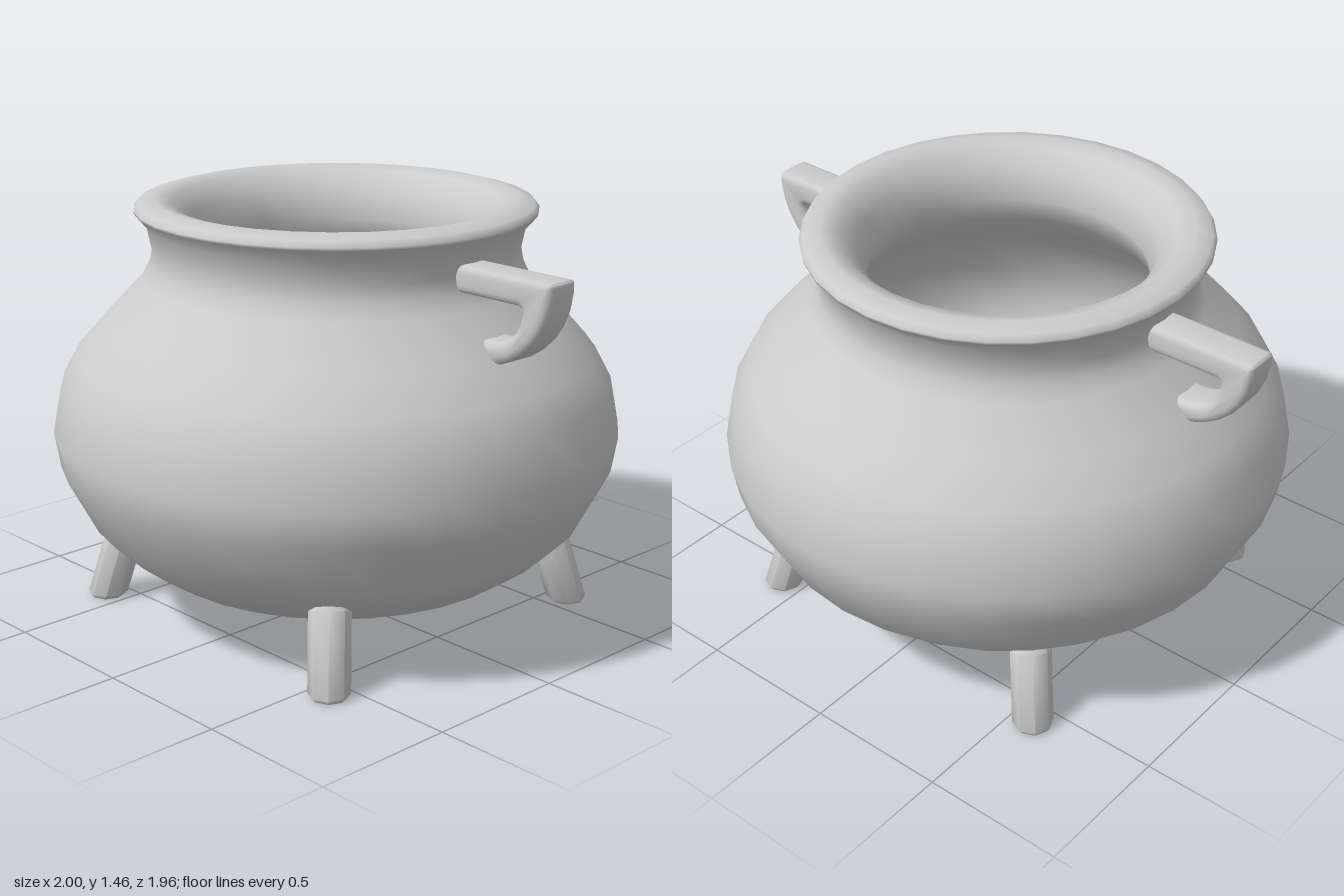
import * as THREE from 'three';
import { toCreasedNormals } from 'three/addons/utils/BufferGeometryUtils.js';

const material = new THREE.MeshStandardMaterial({ color: 0xcccccc });
const toPoints = (list) => list.map(([x, y]) => new THREE.Vector2(x, y));

function addMesh(parent, name, geometry) {
  const mesh = new THREE.Mesh(geometry, material);
  mesh.name = name;
  parent.add(mesh);
  return mesh;
}

// Round-bellied pot: up the outside, over the flared rim, down the inside
function potGeometry() {
  return new THREE.LatheGeometry(toPoints([
    [0, 0.055], [0.2, 0.065], [0.36, 0.09], [0.5, 0.125], [0.65, 0.19], [0.76, 0.265],
    [0.86, 0.36], [0.957, 0.545], [0.978, 0.67], [0.947, 0.83], [0.888, 0.94],
    [0.79, 1.05], [0.663, 1.185], [0.635, 1.24], [0.626, 1.29], [0.642, 1.37],
    [0.682, 1.415], [0.684, 1.425], [0.67, 1.445], [0.615, 1.46],
    [0.56, 1.445], [0.5, 1.38], [0.47, 1.28], [0.5, 1.19], [0.62, 1.07], [0.74, 0.95],
    [0.82, 0.8], [0.84, 0.67], [0.82, 0.56], [0.72, 0.4], [0.55, 0.28], [0.3, 0.2], [0, 0.18],
  ]), 32);
}

// D-shaped handle on the +x side, with softened edges
function handleGeometry() {
  const width = 0.136, bevel = 0.025;
  const shape = new THREE.Shape();
  shape.moveTo(0.56, 1.24);
  shape.lineTo(0.87, 1.24);
  shape.quadraticCurveTo(0.89, 1.24, 0.888, 1.22);
  shape.bezierCurveTo(0.88, 1.15, 0.83, 1.11, 0.76, 1.107);
  shape.lineTo(0.66, 1.107);
  shape.lineTo(0.66, 1.035);
  shape.lineTo(0.79, 1.035);
  shape.bezierCurveTo(0.9, 1.07, 0.99, 1.16, 1, 1.29);
  shape.lineTo(1, 1.315);
  shape.quadraticCurveTo(1, 1.33, 0.985, 1.33);
  shape.lineTo(0.56, 1.33);
  const geometry = new THREE.ExtrudeGeometry(shape, {
    depth: width - 2 * bevel, curveSegments: 6, bevelEnabled: true,
    bevelThickness: bevel, bevelSize: bevel, bevelOffset: -bevel, bevelSegments: 3,
  });
  geometry.translate(0, 0, bevel - width / 2);
  return toCreasedNormals(geometry, 0.8);
}

// Splayed leg leaning inward along -x, with a level foot and a tilted top
function legGeometry() {
  const lean = 0.3, height = 0.28;
  const geometry = new THREE.LatheGeometry(toPoints([
    [0, 0], [0.06, 0], [0.07, 0.012], [0.07, height - 0.015], [0.06, height], [0, height],
  ]), 8);
  const p = geometry.attributes.position;
  for (let i = 0; i < p.count; i++) {
    const x = p.getX(i), y = p.getY(i);
    const newY = y + (y > height / 2 ? lean * x : 0);
    p.setXY(i, x - lean * newY, newY);
  }
  return toCreasedNormals(geometry, 0.9);
}

export function createModel() {
  const group = new THREE.Group();
  group.name = 'cauldron';
  addMesh(group, 'pot', potGeometry());

  // Handles on both sides
  const handle = handleGeometry();
  addMesh(group, 'leftHandle', handle);
  addMesh(group, 'rightHandle', handle).rotation.y = Math.PI;

  // Four legs on the diagonals
  const leg = legGeometry();
  ['backLeftLeg', 'backRightLeg', 'frontRightLeg', 'frontLeftLeg'].forEach((name, i) => {
    const angle = Math.PI / 4 + i * Math.PI / 2;
    const mesh = addMesh(group, name, leg);
    mesh.rotation.y = angle;
    mesh.position.set(0.825 * Math.cos(angle), 0, -0.825 * Math.sin(angle));
  });
  return group;
}
